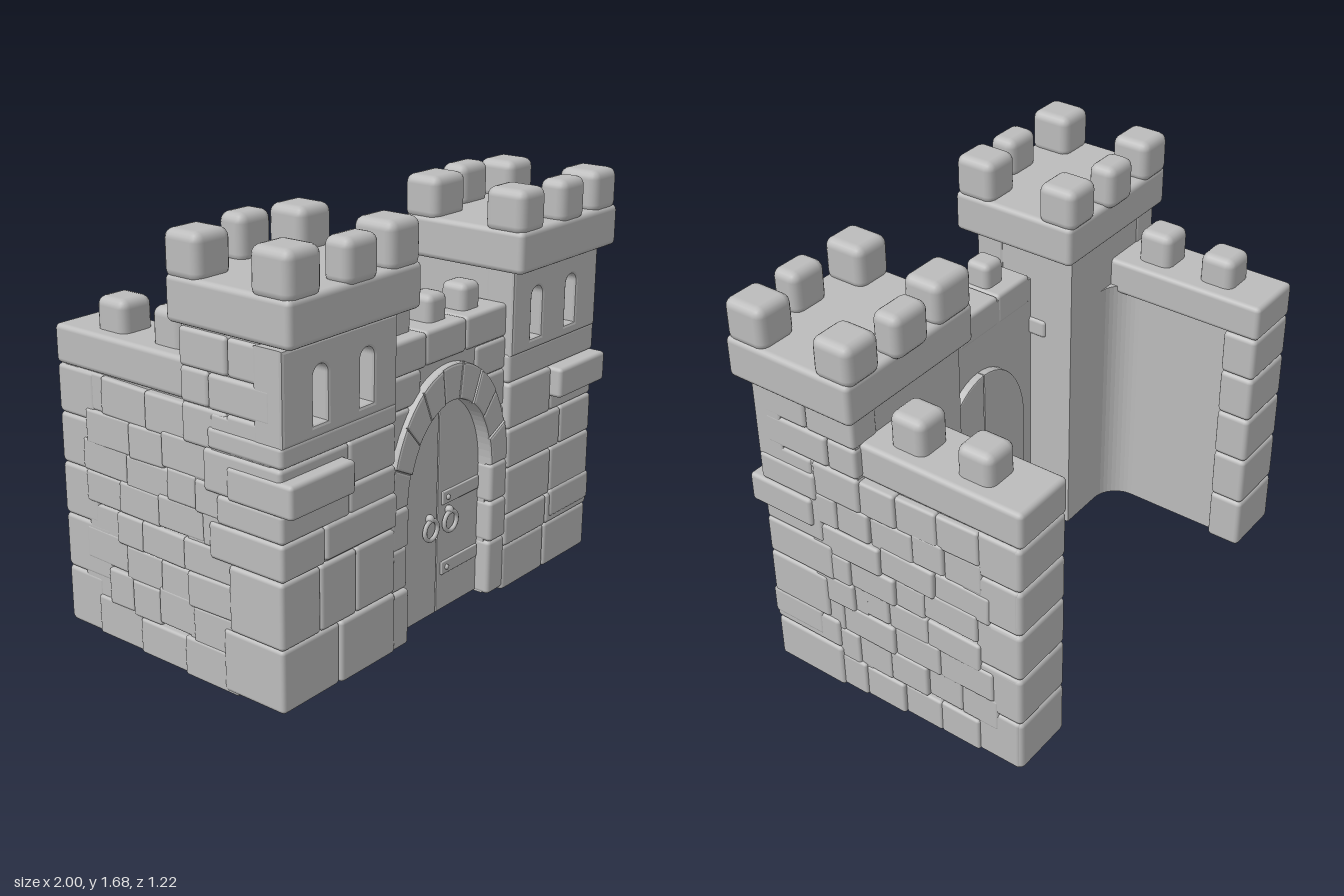
import * as THREE from 'three';
import { RoundedBoxGeometry } from 'three/addons/geometries/RoundedBoxGeometry.js';

const stoneMat = new THREE.MeshStandardMaterial({ color: 0xbcbcbc });
stoneMat.name = 'grey stone';

// small seeded random, -1..1
let seed = 7;
const rnd = () => {
  seed = (seed * 16807) % 2147483647;
  return (seed / 2147483647) * 2 - 1;
};

function add(parent, geo, name, x = 0, y = 0, z = 0) {
  const m = new THREE.Mesh(geo, stoneMat);
  m.name = name;
  m.position.set(x, y, z);
  parent.add(m);
  return m;
}

// rounded block given by its limits
function block(parent, name, x0, x1, y0, y1, z0, z1, r = 0.016) {
  const w = Math.abs(x1 - x0), h = y1 - y0, d = z1 - z0;
  return add(parent, new RoundedBoxGeometry(w, h, d, 2, Math.min(r, w / 3, h / 3, d / 3)), name,
    (x0 + x1) / 2, (y0 + y1) / 2, (z0 + z1) / 2);
}

function core(parent, name, x0, x1, y0, y1, z0, z1) {
  return add(parent, new THREE.BoxGeometry(Math.abs(x1 - x0), y1 - y0, z1 - z0), name,
    (x0 + x1) / 2, (y0 + y1) / 2, (z0 + z1) / 2);
}

// extrude a shape between two z limits, bevel included
function slab(parent, name, shape, z0, z1, bevel) {
  const geo = new THREE.ExtrudeGeometry(shape, {
    depth: z1 - z0 - 2 * bevel, bevelEnabled: bevel > 0, bevelThickness: bevel,
    bevelSize: bevel, bevelOffset: -bevel, bevelSegments: 2, curveSegments: 14,
  });
  return add(parent, geo, name, 0, 0, z0 + bevel);
}

const CX = -0.018, SPRING = 0.58;      // arch centre and springing height
const arc = (rx, ry, a) => new THREE.Vector2(CX + rx * Math.cos(a), SPRING + ry * Math.sin(a));

// outer face of the side masonry leans in toward the back
const outerX = z => 0.905 + (z + 0.6) * 0.043;

// front courses: [bottom, top, joints from the inside out]
const LEFT_COURSES = [
  [0.005, 0.2, 0.34, 0.64, 0.955], [0.2, 0.335, 0.34, 0.64, 0.955],
  [0.335, 0.535, 0.34, 0.66, 0.955], [0.535, 0.7, 0.34, 0.72, 0.955],
  [0.7, 0.89, 0.34, 0.64, 0.955], [0.89, 1.01, 0.34, 0.955],
];
const RIGHT_COURSES = [
  [0.02, 0.265, 0.34, 0.65, 0.955], [0.265, 0.52, 0.34, 0.56, 0.755, 0.955],
  [0.52, 0.66, 0.34, 0.73, 0.955], [0.66, 0.77, 0.34, 0.6, 0.955],
  [0.77, 0.93, 0.34, 0.6, 0.955], [0.93, 1.01, 0.34, 0.955],
];

// tower body and side wing, s = +1 left, -1 right
function towerAndWing(s) {
  const g = new THREE.Group();
  g.name = s > 0 ? 'leftTowerAndWing' : 'rightTowerAndWing';
  g.position.x = s > 0 ? 0 : -0.03;
  const b = (n, x0, x1, ...rest) => block(g, n, s * x0, s * x1, ...rest);

  core(g, 'towerCore', s * 0.35, s * 0.934, 0.015, 1.36, 0.08, 0.44);
  core(g, 'wingCore', s * 0.68, s * 0.9, 0.015, 1.12, -0.57, 0.1);

  // rounded inner corner between wing and tower
  const fillet = new THREE.Shape();
  fillet.moveTo(s * 0.69, -0.09);
  fillet.lineTo(s * 0.69, 0.04);
  for (let i = 0; i <= 10; i++) {
    const a = Math.PI / 2 * i / 10;
    fillet.lineTo(s * (0.56 + 0.12 * Math.cos(a)), 0.04 - 0.12 * Math.sin(a));
  }
  fillet.lineTo(s * 0.56, -0.09);
  const filletGeo = new THREE.ExtrudeGeometry(fillet, { depth: 1.08, bevelEnabled: false });
  add(g, filletGeo.rotateX(-Math.PI / 2), 'innerCorner', 0, 0.015, 0);

  for (const [y0, y1, ...xs] of s > 0 ? LEFT_COURSES : RIGHT_COURSES)
    for (let i = 0; i < xs.length - 1; i++) {
      const last = i === xs.length - 2;
      b('frontStone', xs[i], xs[i + 1] + (last ? rnd() * 0.004 : 0), y0, y1,
        last ? 0.24 + rnd() * 0.06 : 0.4, 0.547 + rnd() * 0.005);
    }
  b('ledgeStone', 0.63, 0.965, 0.765, 0.89, 0.3, 0.6);
  // wide stone lying across the joints
  if (s < 0) b('proudStone', 0.34, 0.735, 0.53, 0.665, 0.4, 0.556);
  else b('proudStone', 0.66, 0.958, 0.225, 0.35, 0.3, 0.556);

  // upper front with two arrow slits
  const face = new THREE.Shape([[0.345, 1.0], [0.95, 1.0], [0.95, 1.34], [0.345, 1.34]]
    .map(([x, y]) => new THREE.Vector2(s * x, y)));
  for (const x of [0.51, 0.755]) {
    const slit = new THREE.Path();
    slit.moveTo(s * x - 0.036, 1.045);
    slit.lineTo(s * x + 0.036, 1.045);
    slit.lineTo(s * x + 0.036, 1.215);
    slit.absarc(s * x, 1.215, 0.036, 0, Math.PI, false);
    slit.closePath();
    face.holes.push(slit);
  }
  slab(g, 'arrowSlitWall', face, 0.42, 0.55, 0.012);

  // upper tower side stones
  for (const [y0, y1, z] of [[0.92, 1.07, 0.29], [1.07, 1.2, 0.21], [1.2, 1.34, 0.3]]) {
    b('towerSideStone', 0.82, 0.95 + rnd() * 0.003, y0, y1, z, 0.5);
    b('towerSideStone', 0.82, 0.947 + rnd() * 0.003, y0, y1, 0.075, z);
  }

  // irregular masonry along the outer side
  const rows = [0.01, 0.16, 0.3, 0.43, 0.55, 0.67, 0.79, 0.92, 1.06];
  for (let i = 0; i < rows.length - 1; i++) {
    let z = -0.46 + rnd() * 0.05;
    while (z < 0.29) {
      let z1 = z + 0.19 + rnd() * 0.06;
      if (z1 > 0.24) z1 = 0.32;
      const j = rnd() * 0.01;
      const m = b('sideStone', 0.82, outerX((z + z1) / 2) + 0.004 + rnd() * 0.005,
        rows[i] + (i ? j - 0.003 : 0), rows[i + 1] + j + 0.003, z - 0.002, z1 + 0.002, 0.012);
      m.rotation.x = i ? rnd() * 0.025 : 0;
      z = z1;
    }
  }

  // corner stones of the wing's back end
  const ends = [0.01, 0.24, 0.46, 0.67, 0.87, 1.06];
  for (let i = 0; i < 5; i++) {
    b('wingEndStone', 0.642, 0.912 + rnd() * 0.003, ends[i], ends[i + 1], -0.61, -0.46, 0.02);
    b('wingEndStone', 0.75, 0.914, ends[i], ends[i + 1], -0.6, i % 2 ? -0.35 : -0.41);
  }

  // wing coping and merlons
  b('wingCoping', 0.642, 0.912, 1.06, 1.212, -0.613, 0.1, 0.02);
  for (const z of [-0.37, -0.08])
    b('wingMerlon', 0.705, 0.855, 1.17, z > -0.2 ? 1.35 : 1.335, z - 0.076, z + 0.076, 0.035);
  return g;
}

// overhanging crown with six merlons
function crown(name, x0, x1, y0, y1, top, merlons) {
  const g = new THREE.Group();
  g.name = name;
  block(g, 'crownBand', x0, x1, y0, y1, 0.038, 0.603, 0.022);
  for (const [x, z, mw, d] of merlons)
    block(g, 'towerMerlon', x - mw / 2, x + mw / 2, y1 - 0.02, top + rnd() * 0.008, z - d / 2, z + d / 2, 0.036);
  return g;
}

function gate() {
  const g = new THREE.Group();
  g.name = 'gate';

  // wall with an arched opening
  const wall = new THREE.Shape();
  wall.moveTo(-0.38, 0.02);
  wall.lineTo(CX - 0.265, 0.02);
  for (let i = 0; i <= 24; i++) {
    const p = arc(0.265, 0.34, Math.PI * (1 - i / 24));
    wall.lineTo(p.x, p.y);
  }
  wall.lineTo(CX + 0.265, 0.02);
  wall.lineTo(0.36, 0.02);
  wall.lineTo(0.36, 1.19);
  wall.lineTo(-0.38, 1.19);
  slab(g, 'gateWall', wall, 0.283, 0.507, 0);

  // wall stones above and beside the arch
  const xs = [-0.37, -0.16, 0.09, 0.355];
  for (let i = 0; i < 3; i++)
    block(g, 'wallTopStone', xs[i], xs[i + 1], 1.08, 1.212, 0.28, 0.52 + rnd() * 0.004);
  for (const s of [-1, 1])
    for (const [x, y0, y1] of [[0.17, 0.95, 1.08], [0.23, 0.8, 0.95], [0.275, 0.62, 0.8]])
      block(g, 'spandrelStone', CX + s * x, CX + s * 0.37, y0, y1, 0.35, 0.518);
  for (const x of [-0.23, -0.012, 0.2])
    block(g, 'gateMerlon', x - 0.056, x + 0.056, 1.17, 1.315, 0.345, 0.46, 0.028);

  // arch stones
  const n = 9;
  for (let i = 0; i < n; i++) {
    const a0 = Math.PI * i / n, a1 = Math.PI * (i + 1) / n, pts = [];
    for (let k = 0; k <= 4; k++) pts.push(arc(0.37, 0.48, a0 + (a1 - a0) * k / 4));
    for (let k = 4; k >= 0; k--) pts.push(arc(0.262, 0.335, a0 + (a1 - a0) * k / 4));
    slab(g, 'archStone', new THREE.Shape(pts), 0.4, 0.54 + rnd() * 0.006, 0.01);
  }

  // jambs
  const js = [0.02, 0.25, 0.42, SPRING];
  for (const s of [-1, 1])
    for (let i = 0; i < 3; i++)
      block(g, 'jambStone', CX + s * 0.262, CX + s * 0.37, js[i], js[i + 1], 0.4, 0.54 + rnd() * 0.006);

  // two door leaves, standing slightly proud at the back
  core(g, 'doorSeam', CX - 0.02, CX + 0.02, 0.03, 0.9, 0.258, 0.467);
  for (const s of [-1, 1]) {
    const pts = [new THREE.Vector2(CX + s * 0.002, 0.025), new THREE.Vector2(CX + s * 0.272, 0.025)];
    for (let i = 0; i <= 12; i++) {
      const p = arc(0.272, 0.345, Math.PI / 2 * i / 12);
      pts.push(new THREE.Vector2(CX + s * Math.max(p.x - CX, 0.002), p.y));
    }
    slab(g, 'doorLeaf', new THREE.Shape(pts), 0.25, 0.475, 0.006);

    // ring handle
    const hx = CX + s * 0.062;
    add(g, new THREE.TorusGeometry(0.04, 0.009, 8, 24), 'handleRing', hx, 0.4, 0.492);
    add(g, new THREE.SphereGeometry(0.018, 12, 8), 'handleKnob', hx, 0.445, 0.485);
  }

  // hinge straps and rivets
  for (const y of [0.5, 0.205]) {
    block(g, 'hingeStrap', 0.005, 0.24, y - 0.027, y + 0.027, 0.468, 0.484, 0.004);
    add(g, new THREE.SphereGeometry(0.011, 10, 6), 'hingeRivet', 0.035, y, 0.484);
  }
  return g;
}

export function createModel() {
  seed = 7;
  const model = new THREE.Group();
  model.name = 'castleGate';
  model.add(towerAndWing(1), towerAndWing(-1), gate());
  model.add(crown('rightCrown', -0.998, -0.305, 1.35, 1.52, 1.675, [
    [-0.912, 0.512, 0.17, 0.18], [-0.63, 0.55, 0.17, 0.12], [-0.392, 0.512, 0.17, 0.18],
    [-0.912, 0.115, 0.17, 0.17], [-0.63, 0.07, 0.16, 0.12], [-0.392, 0.115, 0.17, 0.17]]));
  model.add(crown('leftCrown', 0.312, 0.998, 1.338, 1.505, 1.655, [
    [0.395, 0.51, 0.165, 0.18], [0.665, 0.545, 0.165, 0.12], [0.908, 0.51, 0.17, 0.18],
    [0.415, 0.115, 0.2, 0.165], [0.675, 0.07, 0.18, 0.12], [0.908, 0.115, 0.17, 0.17]]));
  return model;
}
